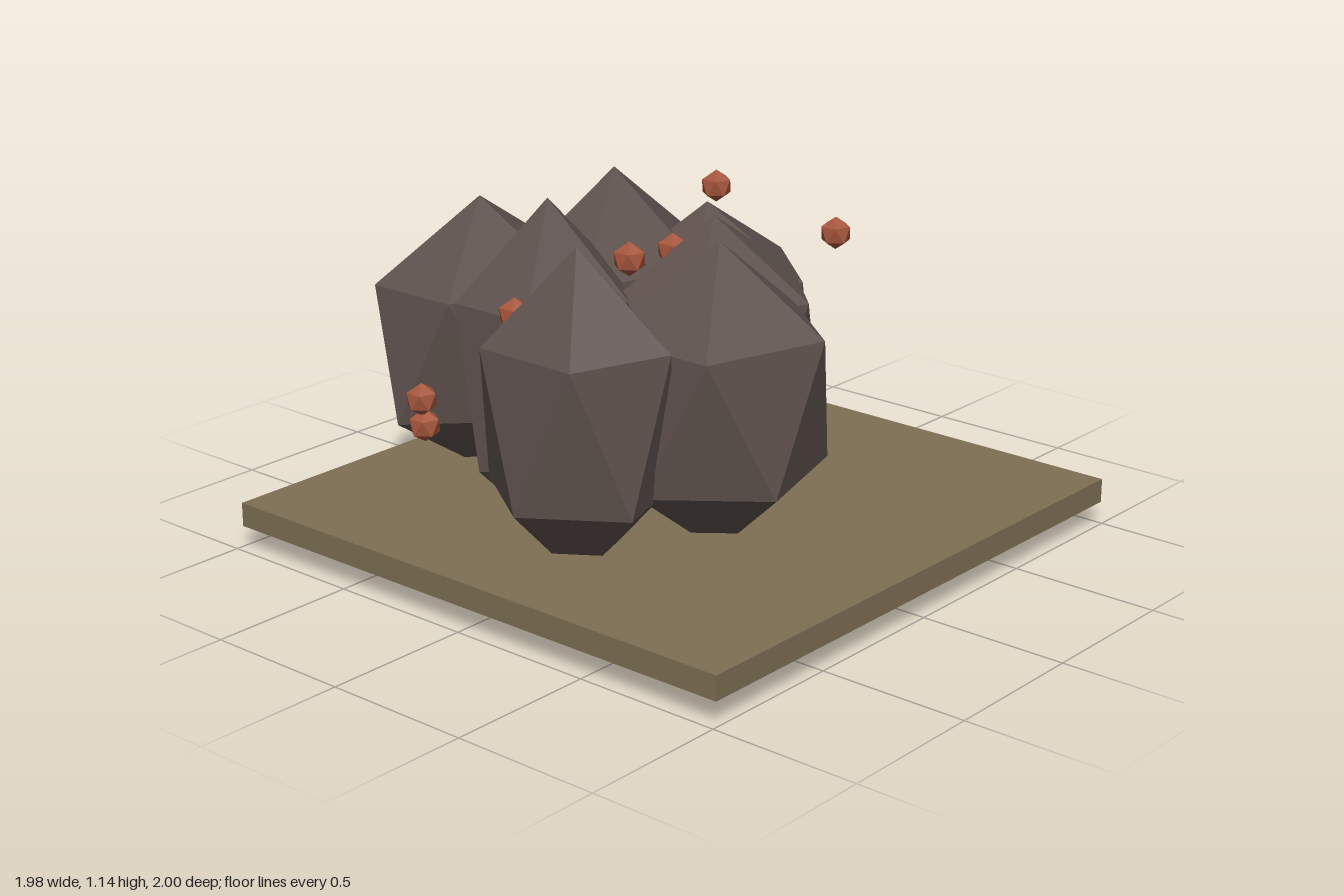
import * as THREE from 'three';

export function createModel() {
  const model = new THREE.Group();
  const rockMat = new THREE.MeshStandardMaterial({ name: 'dark rock', color: 0x5d504c, flatShading: true });
  const earthMat = new THREE.MeshStandardMaterial({ name: 'dry earth', color: 0x7d6f53, flatShading: true });
  const emberMat = new THREE.MeshStandardMaterial({ name: 'ember red', color: 0xa5553c, flatShading: true });

  // Icosahedron standing on a vertex, one upper ring vertex pointing to +x
  const ico = new THREE.IcosahedronGeometry(1, 0);
  ico.rotateX(-Math.atan((1 + Math.sqrt(5)) / 2));
  ico.rotateY(Math.PI / 2);

  const addIco = (name, material, [x, y, z], [rx, ry, rz]) => {
    const mesh = new THREE.Mesh(ico, material);
    mesh.name = name;
    mesh.position.set(x, y, z);
    mesh.scale.set(rx, ry, rz);
    model.add(mesh);
  };

  // Ground slab
  const slab = new THREE.Mesh(new THREE.BoxGeometry(1.975, 0.08, 1.98), earthMat);
  slab.name = 'groundSlab';
  slab.position.set(0, 0.12, 0.01);
  model.add(slab);

  // Boulders: x, z, then radii in x, y, z
  const boulders = [
    [-0.11, 0.275, 0.414, 0.51, 0.382],
    [-0.52, 0.06, 0.325, 0.54, 0.35],
    [-0.25, -0.31, 0.37, 0.57, 0.29],
    [0.17, -0.405, 0.455, 0.57, 0.31],
    [-0.127, -0.73, 0.447, 0.476, 0.318],
    [0.17, 0.02, 0.456, 0.485, 0.34],
    [0.387, -0.19, 0.44, 0.445, 0.363],
  ];
  boulders.forEach(([x, z, rx, ry, rz], i) =>
    addIco(`boulder${i + 1}`, rockMat, [x, 0.57, z], [rx, ry, rz]));

  // Small embers scattered over and around the pile
  const embers = [
    [-0.32, 1.035, 0.095],
    [0.5, 1.035, -0.245],
    [0.6, 0.93, 0.18],
    [0.11, 0.93, -0.1],
    [0.5, 0.62, -0.62],
    [-0.08, 0.9, -0.465],
    [-0.51, 0.84, -0.21],
    [-0.21, 0.77, -0.01],
    [-0.58, 0.5, -0.56],
    [-0.57, 0.41, -0.56],
  ];
  embers.forEach((p, i) => addIco(`ember${i + 1}`, emberMat, p, [0.055, 0.055, 0.055]));

  return model;
}
